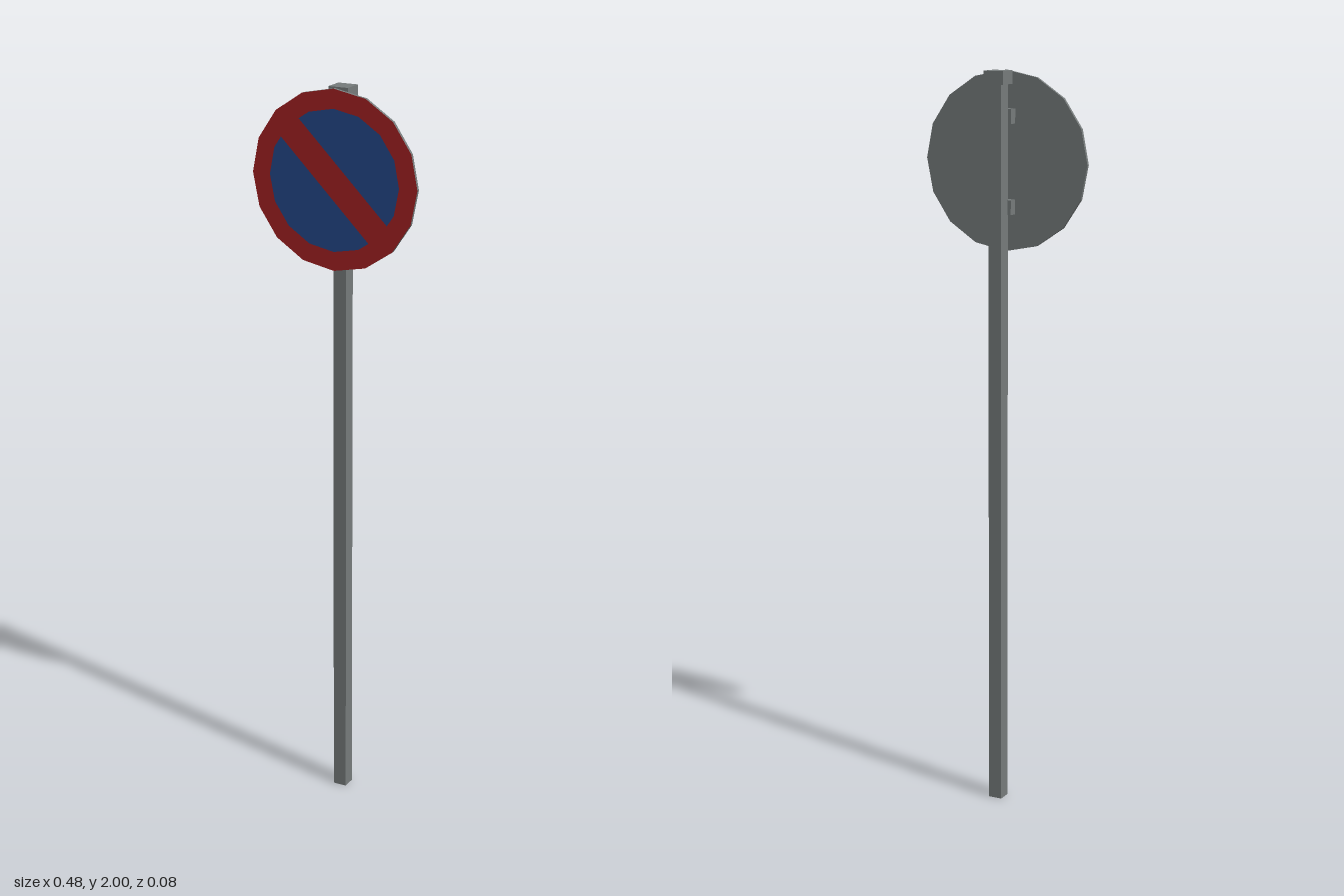
import * as THREE from 'three';

export function createModel() {
  const group = new THREE.Group();
  const mat = (name, color) => {
    const m = new THREE.MeshStandardMaterial({ color });
    m.name = name;
    return m;
  };
  const grey = mat('galvanised grey', 0x777c7c);
  const red = mat('sign red', 0xa52123);
  const blue = mat('sign blue', 0x24488a);

  const add = (name, geometry, material, x, y, z) => {
    const mesh = new THREE.Mesh(geometry, material);
    mesh.name = name;
    mesh.position.set(x, y, z);
    group.add(mesh);
    return mesh;
  };
  const box = (name, w, h, d, y, z) =>
    add(name, new THREE.BoxGeometry(w, h, d), grey, 0, y, z);

  // Square post with a slightly wider cap
  const postZ = -0.013;
  box('post', 0.038, 1.965, 0.038, 0.9825, postZ);
  box('postCap', 0.056, 0.035, 0.055, 1.9825, postZ);

  // Two brackets joining the post to the sign
  const signY = 1.762;
  for (const side of [1, -1]) {
    box(side > 0 ? 'upperBracket' : 'lowerBracket', 0.056, 0.039, 0.026, signY + side * 0.119, 0.018);
  }

  // Sixteen-sided sign plate: grey rim and back, red front
  const sides = 16, radius = 0.238;
  const plate = new THREE.CylinderGeometry(radius, radius, 0.009, sides).toNonIndexed();
  plate.computeVertexNormals();
  plate.rotateX(Math.PI / 2);
  add('signPlate', plate, [grey, red, grey], 0, signY, 0.0345);

  // Blue field: two polygon segments, leaving a red diagonal bar between them
  const inner = 0.187, halfBar = 0.037, step = (Math.PI * 2) / sides;
  const t = halfBar / (inner * Math.sin(step));
  const chordX = inner * (1 + t * (Math.cos(step) - 1));
  const points = [new THREE.Vector2(chordX, halfBar)];
  for (let i = 1; i < sides / 2; i++) {
    points.push(new THREE.Vector2(Math.cos(i * step) * inner, Math.sin(i * step) * inner));
  }
  points.push(new THREE.Vector2(-chordX, halfBar));
  const segment = new THREE.ShapeGeometry(new THREE.Shape(points));
  for (const [name, turn] of [['upperBlueField', 0], ['lowerBlueField', Math.PI]]) {
    add(name, segment, blue, 0, signY, 0.04).rotation.z = turn - Math.PI / 4;
  }

  return group;
}
